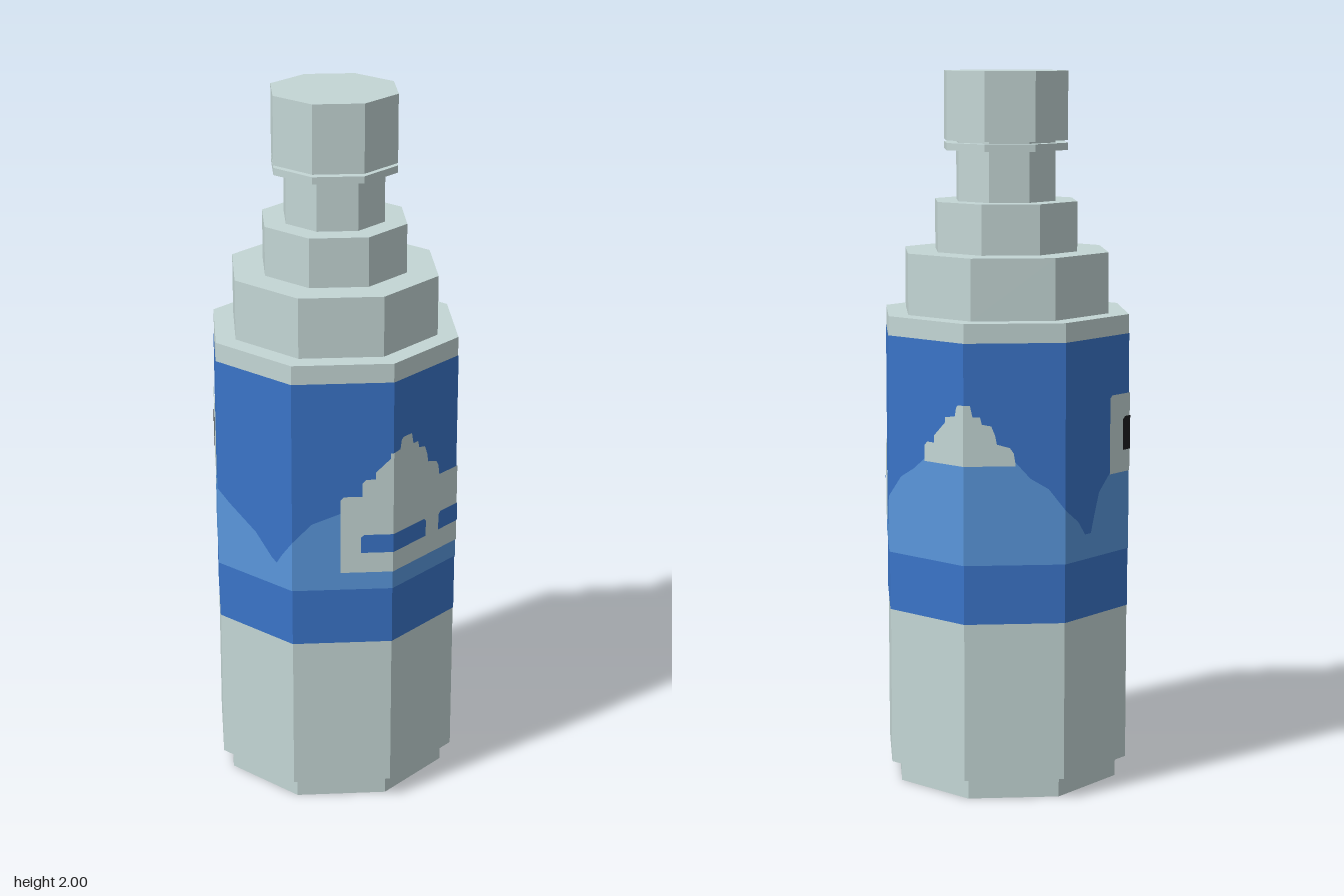
import * as THREE from 'three';

const SIDES = 8;
const APOTHEM = 0.333;                                  // centre to flat face of the body
const SIDE = 2 * APOTHEM * Math.tan(Math.PI / SIDES);   // width of one body face

const paint = (name, color, side = THREE.FrontSide) => {
  const m = new THREE.MeshStandardMaterial({ color, flatShading: true, side });
  m.name = name;
  return m;
};

// Octagonal tier with a flat face to the front
function tier(name, apothem, y0, y1, material) {
  const r = apothem / Math.cos(Math.PI / SIDES);
  const g = new THREE.CylinderGeometry(r, r, y1 - y0, SIDES);
  g.rotateY(Math.PI / SIDES);
  g.translate(0, (y0 + y1) / 2, 0);
  const mesh = new THREE.Mesh(g, material);
  mesh.name = name;
  return mesh;
}

// Point on the body wall: u runs around the wall from the front centre towards +x
function onWall(u, y, lift) {
  const k = Math.round(u / SIDE);
  const a = k * 2 * Math.PI / SIDES;
  const d = u - k * SIDE;
  const s = (APOTHEM + lift) / APOTHEM;
  return [
    s * (Math.sin(a) * APOTHEM + Math.cos(a) * d), y,
    s * (Math.cos(a) * APOTHEM - Math.sin(a) * d),
  ];
}

// Painted area wrapped on the wall, from a level bottom up to an outline of [u, y] points
function wrap(name, bottom, outline, layer, material) {
  const pos = [];
  const lift = layer * 0.0015;
  for (let i = 0; i + 1 < outline.length; i++) {
    const [u0, y0] = outline[i], [u1, y1] = outline[i + 1];
    if (u1 - u0 < 1e-6) continue;
    // split where the wall bends
    const cuts = [u0];
    for (let k = Math.floor(u0 / SIDE) - 1; (k + 0.5) * SIDE < u1; k++) {
      if ((k + 0.5) * SIDE > u0) cuts.push((k + 0.5) * SIDE);
    }
    cuts.push(u1);
    const top = (u) => y0 + (y1 - y0) * (u - u0) / (u1 - u0);
    for (let j = 0; j + 1 < cuts.length; j++) {
      const a = cuts[j], b = cuts[j + 1];
      if (b - a < 1e-6) continue;
      const bl = onWall(a, bottom, lift), br = onWall(b, bottom, lift);
      const tl = onWall(a, top(a), lift), tr = onWall(b, top(b), lift);
      pos.push(...bl, ...br, ...tr, ...bl, ...tr, ...tl);
    }
  }
  const g = new THREE.BufferGeometry();
  g.setAttribute('position', new THREE.Float32BufferAttribute(pos, 3));
  g.computeVertexNormals();
  const mesh = new THREE.Mesh(g, material);
  mesh.name = name;
  return mesh;
}

// Level-topped patch with slightly clipped corners
function patch(name, u0, u1, y0, y1, layer, material) {
  const c = 0.008;
  return wrap(name, y0, [[u0, y1 - c], [u0 + c, y1], [u1 - c, y1], [u1, y1 - c]], layer, material);
}

// Stepped snow cap, rising from y = 0.95 around a peak
const snowSteps = [
  [-0.14, 0.95], [-0.14, 0.99], [-0.13, 1.0], [-0.105, 1.0], [-0.105, 1.02], [-0.095, 1.03],
  [-0.065, 1.06], [-0.065, 1.075], [-0.03, 1.08], [-0.025, 1.105], [-0.018, 1.112],
  [0.018, 1.112], [0.025, 1.08], [0.045, 1.08], [0.05, 1.06], [0.075, 1.055], [0.085, 1.03],
  [0.09, 1.005], [0.125, 0.995], [0.135, 0.98], [0.14, 0.95],
];
const snowAt = (peak) => snowSteps.map(([u, y]) => [u + peak, y]);

export function createModel() {
  const group = new THREE.Group();
  const pale = paint('pale grey', 0xc4d6d5);
  const blue = paint('label blue', 0x3a74c8);
  const light = paint('mountain blue', 0x5a97dc);
  const black = paint('black', 0x1c1c20);

  // Stacked octagonal tiers
  const tiers = [
    ['base', 0.305, 0, 0.06],
    ['body', APOTHEM, 0.06, 1.333],
    ['shoulder', 0.278, 1.333, 1.503],
    ['collar', 0.194, 1.503, 1.642],
    ['neck', 0.135, 1.642, 1.82],
    ['capRing', 0.168, 1.783, 1.803],
    ['cap', 0.168, 1.81, 2.0],
  ];
  for (const [name, apothem, y0, y1] of tiers) group.add(tier(name, apothem, y0, y1, pale));

  // Label band all round
  const full = SIDE * SIDES;
  group.add(wrap('label', 0.505, [[-0.47, 1.28], [full - 0.47, 1.28]], 1, blue));

  // Mountain range all round
  group.add(wrap('mountains', 0.67, [
    [-0.47, 0.74], [-0.45, 0.77], [-0.414, 0.815], [-0.36, 0.87], [-0.282, 0.9], [-0.2, 0.95],
    [0.05, 0.95], [0.275, 0.72], [0.305, 0.725], [0.315, 0.765], [0.35, 0.775], [0.37, 0.81],
    [0.414, 0.83], [0.46, 0.89], [0.51, 0.92], [0.552, 0.955], [0.83, 0.955], [0.87, 0.91],
    [0.92, 0.88], [0.966, 0.82], [1.02, 0.78], [1.05, 0.74], [1.075, 0.74], [1.09, 0.79],
    [1.11, 0.85], [1.16, 0.9], [1.49, 0.92], [1.56, 0.87], [1.66, 0.81], [1.72, 0.75],
    [full - 0.47, 0.74],
  ], 2, light));

  // Front emblem: plate with snow cap and two slots
  group.add(wrap('frontPlate', 0.722, [
    [-0.282, 0.94], [-0.272, 0.95], ...snowAt(-0.082), [0.265, 0.95], [0.275, 0.94],
  ], 3, pale));
  group.add(patch('frontSlotLong', -0.226, 0.0, 0.782, 0.836, 4, blue));
  group.add(patch('frontSlotShort', 0.055, 0.155, 0.782, 0.836, 4, blue));

  // Snow on the side mountain
  group.add(wrap('sideSnow', 0.945, snowAt(0.69), 3, pale));

  // Plate with dark panel at the back
  group.add(patch('backPlate', 1.155, 1.49, 0.893, 1.114, 3, pale));
  group.add(patch('backPanel', 1.21, 1.375, 0.955, 1.05, 4, black));

  return group;
}
